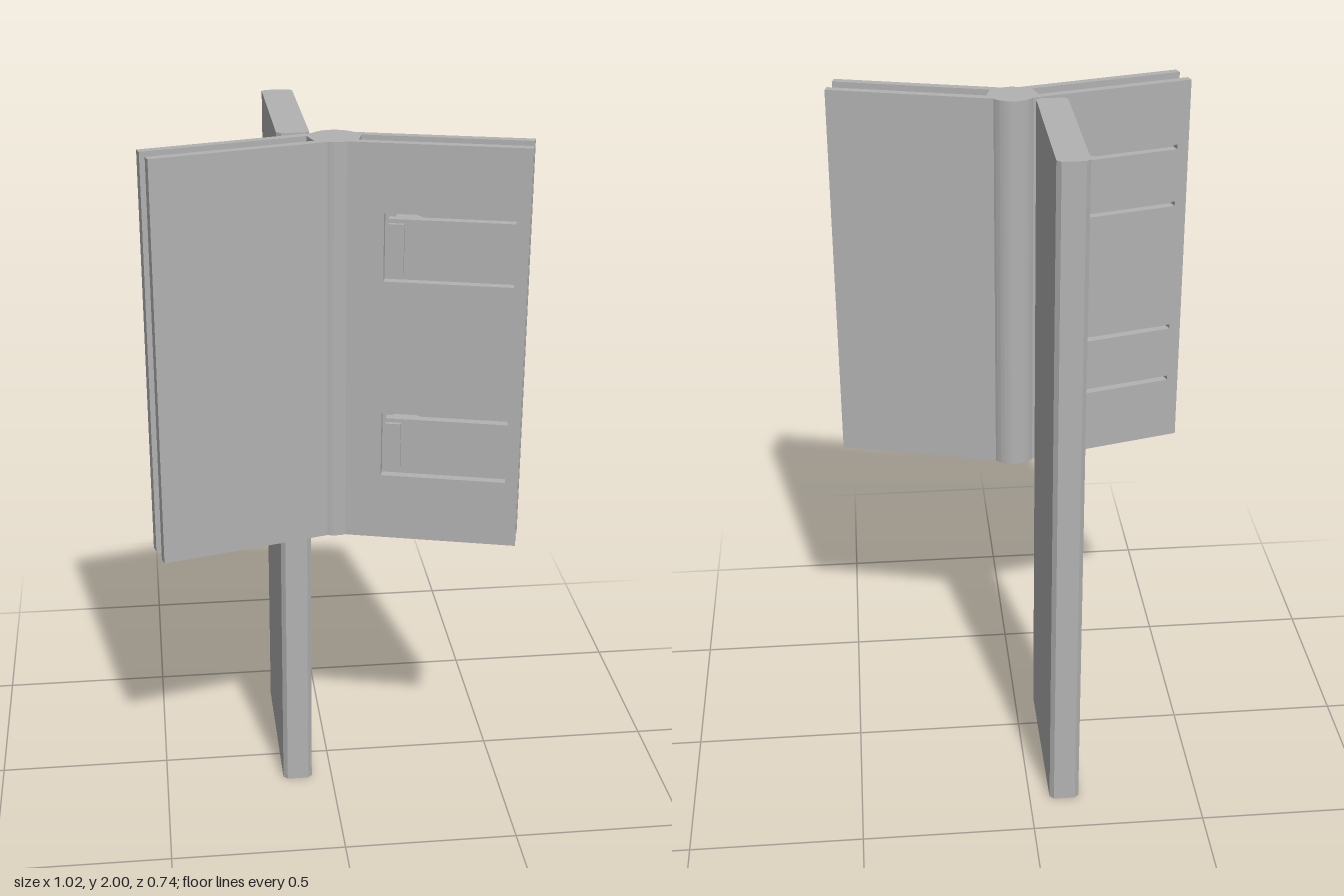
import * as THREE from 'three';
import { toCreasedNormals } from 'three/addons/utils/BufferGeometryUtils.js';

const TILT = Math.PI / 12;          // each wing leans 15 degrees forward
const BOTTOM = 0.88, TOP = 2;       // hinge height range
const ROOT = 0.115, END = 0.563;    // wing range along its own axis
const BACK = [0.128, 0.153], FRONT = [0.206, 0.231]; // plate depths across the wing

export function createModel() {
  const model = new THREE.Group();
  model.name = 'hingedPanel';
  const grey = new THREE.MeshStandardMaterial({ color: 0xb2b2b2 });
  grey.name = 'grey';

  const add = (parent, name, geometry) => {
    const mesh = new THREE.Mesh(geometry, grey);
    mesh.name = name;
    parent.add(mesh);
    return mesh;
  };
  const polygon = (pts) => new THREE.Shape(pts.map(([x, y]) => new THREE.Vector2(x, y)));

  // Extrude a plan outline (x, -z) upward from y0 to y1
  const column = (shape, y0, y1) => {
    const g = new THREE.ExtrudeGeometry(shape, { depth: y1 - y0, bevelEnabled: false, curveSegments: 20 });
    g.rotateX(-Math.PI / 2);
    g.translate(0, y0, 0);
    return toCreasedNormals(g, 0.4);
  };

  // Upright board with chamfered long edges
  const [x0, x1, z0, z1, c] = [-0.147, -0.06, -0.372, 0.14, 0.012];
  add(model, 'board', column(polygon([
    [x0 + c, -z1], [x1 - c, -z1], [x1, -z1 + c], [x1, -z0 - c],
    [x1 - c, -z0], [x0 + c, -z0], [x0, -z0 - c], [x0, -z1 + c],
  ]), 0, TOP));

  // Spine joining the wings, rounded at the front and back
  const plan = (side, u, w) => [
    side * (u * Math.cos(TILT) - w * Math.sin(TILT)),
    -(u * Math.sin(TILT) + w * Math.cos(TILT)),
  ];
  const rad = THREE.MathUtils.degToRad;
  const spine = new THREE.Shape();
  spine.moveTo(...plan(1, ROOT, FRONT[1]));
  spine.lineTo(...plan(1, ROOT, BACK[0]));
  spine.absarc(0, -0.184, 0.066, rad(34), rad(146), false);
  spine.lineTo(...plan(-1, ROOT, BACK[0]));
  spine.lineTo(...plan(-1, ROOT, FRONT[1]));
  spine.absarc(0, -0.184, 0.066, rad(-112.3), rad(-67.7), false);
  spine.closePath();
  add(model, 'spine', column(spine, BOTTOM, TOP));

  // Wings: two parallel plates, one of them cut with sprung clips
  const clipRows = [[1.07, 1.255], [1.63, 1.815]];
  const slot = 0.014;
  for (const side of [1, -1]) {
    const wing = new THREE.Group();
    wing.name = side > 0 ? 'leftWing' : 'rightWing';
    wing.rotation.y = -side * TILT;
    model.add(wing);
    const clipPlate = side > 0 ? FRONT : BACK;

    for (const depth of [BACK, FRONT]) {
      const plate = polygon([[side * ROOT, BOTTOM], [side * END, BOTTOM], [side * END, TOP], [side * ROOT, TOP]]);
      if (depth === clipPlate) {
        // U-shaped slots leave a tongue attached at its outer end
        for (const [a, b] of clipRows) {
          plate.holes.push(polygon([
            [0.528, a], [0.186, a], [0.186, b], [0.528, b],
            [0.528, b - slot], [0.198, b - slot], [0.198, a + slot], [0.528, a + slot],
          ].map(([u, y]) => [side * u, y])));
        }
      }
      const g = new THREE.ExtrudeGeometry(plate, { depth: depth[1] - depth[0], bevelEnabled: false });
      g.translate(0, 0, depth[0]);
      add(wing, depth === FRONT ? 'frontPlate' : 'backPlate', g);
    }

    // Barb inside the gap and finger pad outside, at each tongue's free end
    const inner = side > 0 ? FRONT[0] : BACK[1];
    const tip = side > 0 ? BACK[1] + 0.001 : FRONT[0] - 0.001;
    const outer = side > 0 ? FRONT[1] : BACK[0];
    for (const [a, b] of clipRows) {
      const barb = polygon([[0.214, inner], [0.288, inner], [0.238, tip], [0.214, tip]]
        .map(([u, w]) => [side * u, -w]));
      add(wing, 'barb', column(barb, a + slot, b - slot));
      const pad = add(wing, 'fingerPad', new THREE.BoxGeometry(0.042, b - a - 0.05, 0.012));
      pad.position.set(side * 0.219, (a + b) / 2, outer + side * 0.005);
    }
  }
  return model;
}
